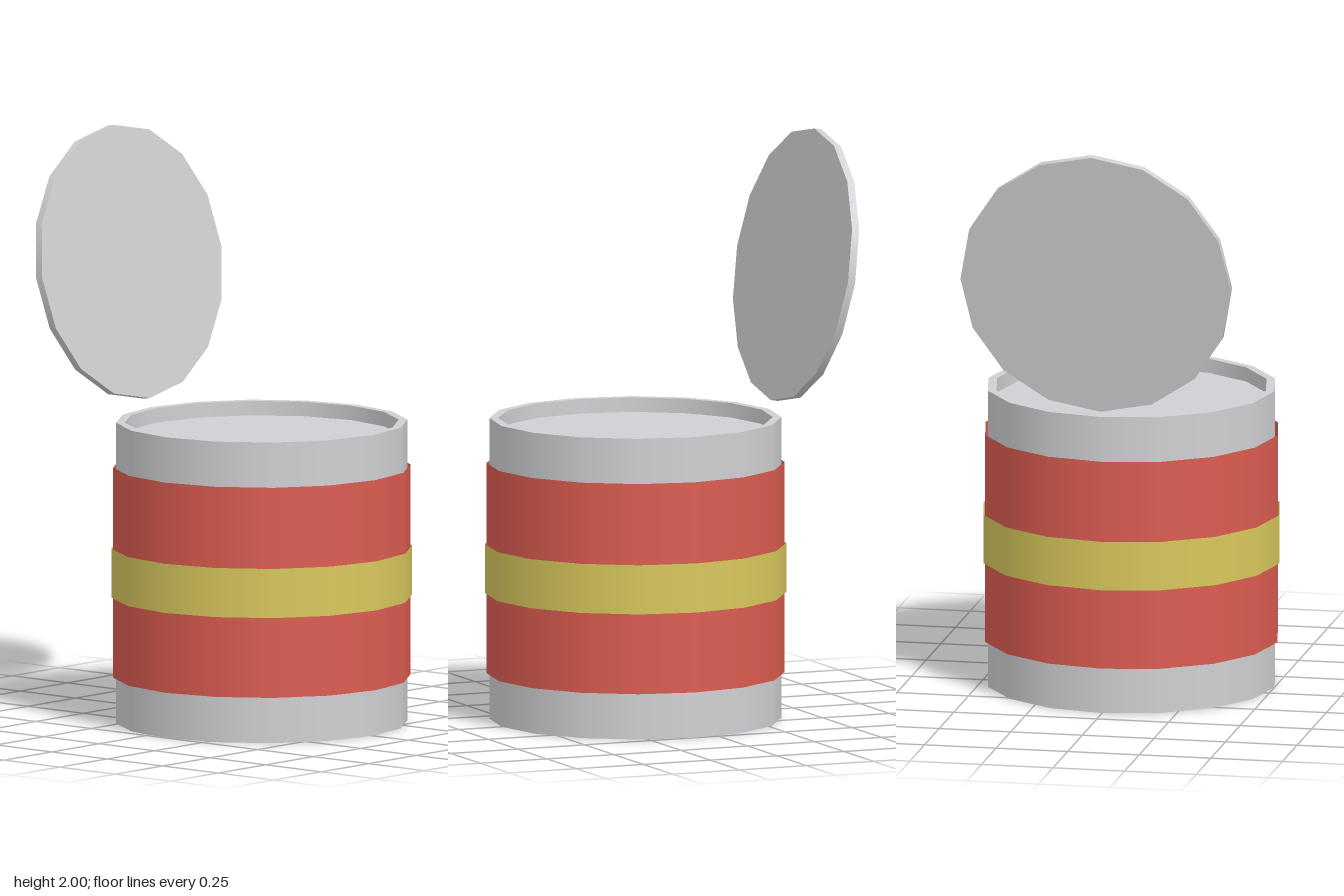
import * as THREE from 'three';

const SIDES = 16;
const CAN_Z = 0.09;

export function createModel() {
  const metal = new THREE.MeshStandardMaterial({ color: 0xd0d0d4, side: THREE.DoubleSide });
  metal.name = 'grey metal';
  const red = new THREE.MeshStandardMaterial({ color: 0xdb5c50, side: THREE.DoubleSide });
  red.name = 'label red';
  const yellow = new THREE.MeshStandardMaterial({ color: 0xd8c75c, side: THREE.DoubleSide });
  yellow.name = 'stripe yellow';

  const model = new THREE.Group();
  model.name = 'openCan';
  const can = new THREE.Group();
  can.name = 'can';
  can.position.z = CAN_Z;
  model.add(can);

  const add = (parent, name, geometry, material, y = 0) => {
    const mesh = new THREE.Mesh(geometry, material);
    mesh.name = name;
    mesh.position.y = y;
    parent.add(mesh);
    return mesh;
  };
  // Open tube from height y0 to y1
  const tube = (name, radius, y0, y1, material) =>
    add(can, name, new THREE.CylinderGeometry(radius, radius, y1 - y0, SIDES, 1, true), material, (y0 + y1) / 2);
  // Flat horizontal disc, facing up or down
  const disc = (name, radius, y, up) =>
    add(can, name, new THREE.CircleGeometry(radius, SIDES).rotateX(up ? -Math.PI / 2 : Math.PI / 2), metal, y);

  // Metal body with a raised rim around the recessed surface
  tube('outerWall', 0.5, 0, 1.04, metal);
  tube('innerWall', 0.47, 0.99, 1.04, metal);
  add(can, 'rim', new THREE.RingGeometry(0.47, 0.5, SIDES).rotateX(-Math.PI / 2), metal, 1.04);
  disc('contents', 0.47, 0.99, true);
  disc('base', 0.5, 0, false);

  // Label wrapped round the body, with a stripe over it
  tube('label', 0.51, 0.158, 0.885, red);
  tube('stripe', 0.516, 0.435, 0.605, yellow);

  // Lid standing open behind the can, leaning back
  const lid = add(model, 'lid', new THREE.CylinderGeometry(0.472, 0.472, 0.027, SIDES), metal, 1.533);
  lid.position.z = -0.51;
  lid.rotation.x = THREE.MathUtils.degToRad(80);

  return model;
}
